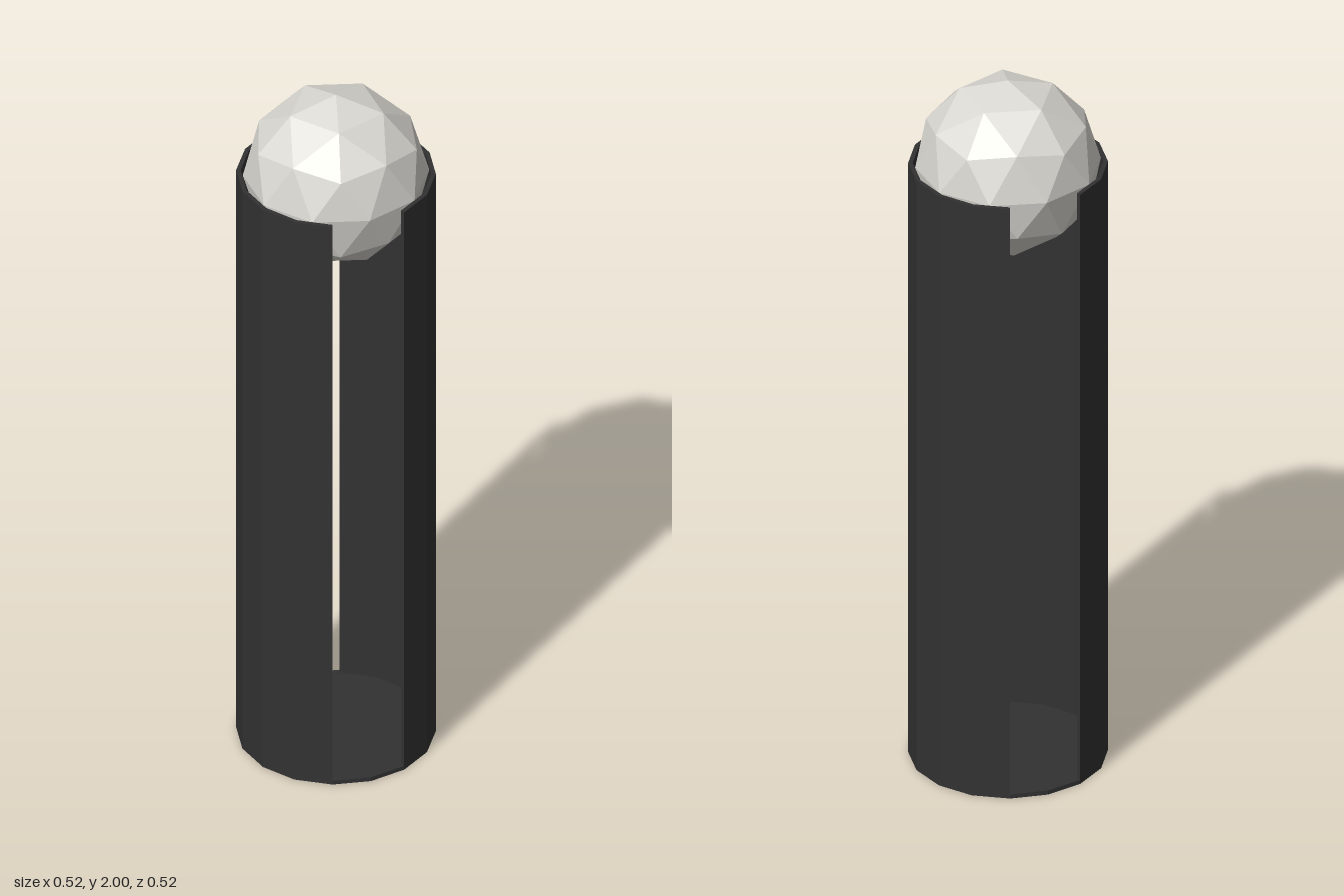
import * as THREE from 'three';

const SIDES = 16, OUTER = 0.262, INNER = 0.25;
const TURN = THREE.MathUtils.degToRad(1.2);
const FLOOR = 0.012, TOP = 1.757, BALL_R = 0.245;

// Point on the sixteen-sided outline; step 0 is at the front, rising towards +x
function corner(radius, step) {
  const a = TURN + (step / SIDES) * Math.PI * 2;
  return new THREE.Vector2(radius * Math.sin(a), -radius * Math.cos(a));
}

function arc(radius, from, to) {
  const points = [];
  for (let i = from; i <= to; i++) points.push(corner(radius, i));
  return points;
}

// Raise a flat outline from y0 to y1
function upright(points, y0, y1) {
  const geometry = new THREE.ExtrudeGeometry(new THREE.Shape(points), { depth: y1 - y0, bevelEnabled: false });
  return geometry.rotateX(-Math.PI / 2).translate(0, y0, 0);
}

export function createModel() {
  const model = new THREE.Group();
  const dark = new THREE.MeshStandardMaterial({ color: 0x323232 });
  dark.name = 'charcoal';
  const pale = new THREE.MeshStandardMaterial({ color: 0xdad8d2 });
  pale.name = 'warm white';

  const add = (name, geometry, material) => {
    const mesh = new THREE.Mesh(geometry, material);
    mesh.name = name;
    model.add(mesh);
  };

  // Thin floor closing the tube
  add('base', upright(arc(OUTER, 0, SIDES - 1), 0, FLOOR), dark);

  // Two curved walls, leaving a two-facet slot on opposite sides
  [['leftWall', 2], ['rightWall', 10]].forEach(([name, start]) => {
    const outline = [...arc(OUTER, start, start + 6), ...arc(INNER, start, start + 6).reverse()];
    add(name, upright(outline, FLOOR, TOP), dark);
  });

  // Faceted ball with one vertex pointing straight up
  const ball = new THREE.IcosahedronGeometry(BALL_R, 1);
  ball.rotateZ(Math.atan(2 / (1 + Math.sqrt(5))));
  ball.rotateY(THREE.MathUtils.degToRad(24.5));
  ball.translate(0, 2 - BALL_R, 0);
  ball.computeVertexNormals();
  add('ball', ball, pale);

  return model;
}
